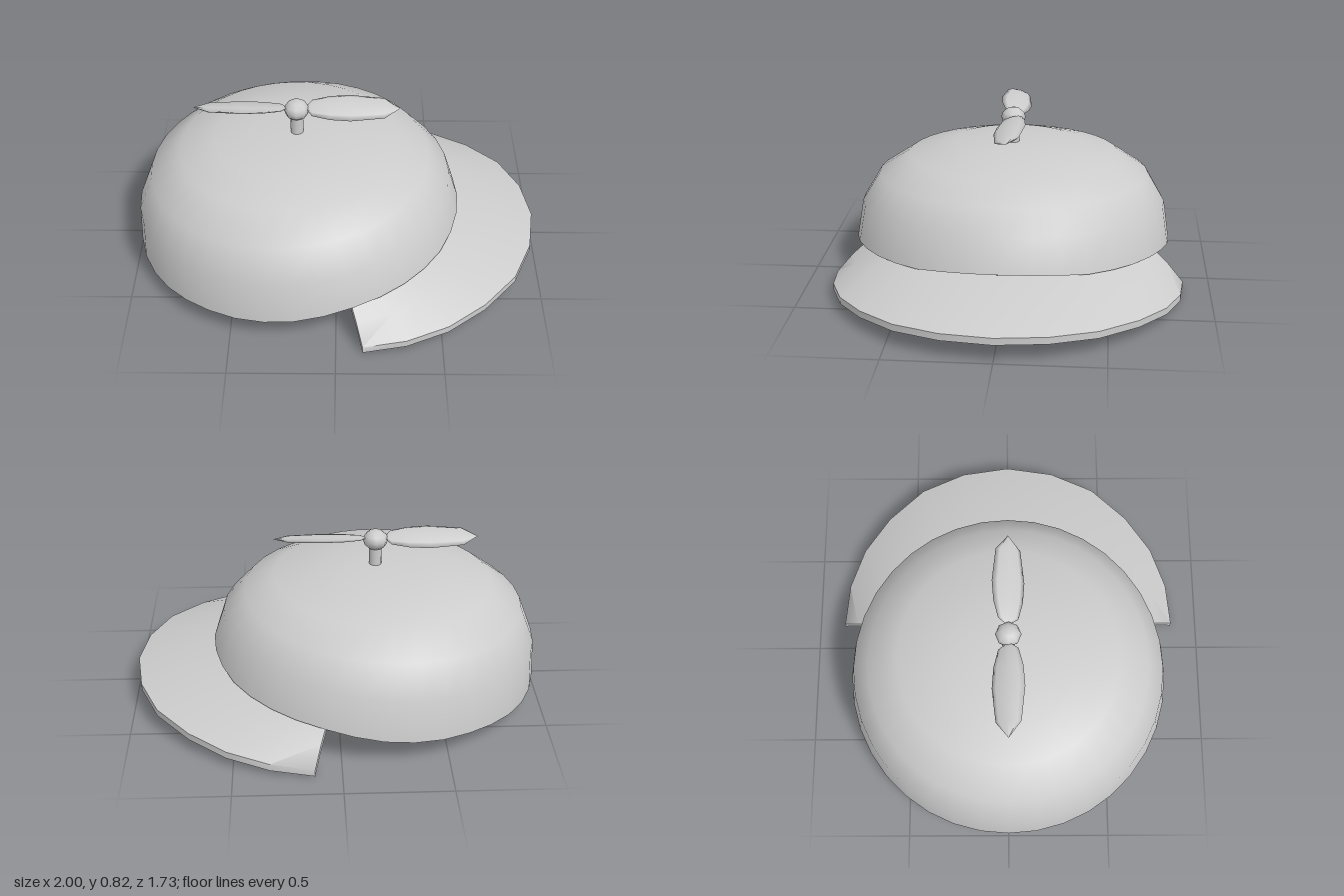
import * as THREE from 'three';
import { toCreasedNormals } from 'three/addons/utils/BufferGeometryUtils.js';

const CX = -0.195; // centre of the crown
const fabric = new THREE.MeshStandardMaterial({ color: 0xcccccc });
fabric.name = 'light grey';

// Height of the crown's wavy lower edge for a given x
const RIM = [[-1, 0.068], [-0.9, 0.07], [-0.65, 0.1], [-0.4, 0.113], [-0.2, 0.136], [0.1, 0.185], [0.5, 0.22], [0.61, 0.25]];
function rimY(x) {
  for (let i = 1; i < RIM.length; i++) {
    const [x0, y0] = RIM[i - 1], [x1, y1] = RIM[i];
    if (x <= x1) return y0 + (y1 - y0) * Math.max(0, (x - x0) / (x1 - x0));
  }
  return 0.25;
}

// Skin a list of cross-sections; closed rings get end caps
function loft(sections, closedRing) {
  const n = sections[0].length, idx = [];
  const last = closedRing ? n : n - 1;
  for (let i = 0; i < sections.length - 1; i++) {
    for (let j = 0; j < last; j++) {
      const k = (j + 1) % n;
      const a = i * n + j, b = (i + 1) * n + j, c = (i + 1) * n + k, d = i * n + k;
      idx.push(a, b, c, a, c, d);
    }
  }
  if (closedRing) {
    const e = (sections.length - 1) * n;
    for (let j = 1; j < n - 1; j++) idx.push(0, j, j + 1, e, e + j + 1, e + j);
  }
  const g = new THREE.BufferGeometry();
  g.setAttribute('position', new THREE.Float32BufferAttribute(sections.flat(2), 3));
  g.setIndex(idx);
  return toCreasedNormals(g, 0.8);
}

function add(parent, name, geometry, x = 0, y = 0, z = 0) {
  const m = new THREE.Mesh(geometry, fabric);
  m.name = name;
  m.position.set(x, y, z);
  parent.add(m);
  return m;
}

// Thick-walled dome of tilted rings: [x shift, radius, height, tilt] from the apex down
function crownGeometry() {
  const rings = [
    [0, 0.001, 0.645, 0], [-0.06, 0.16, 0.638, 0.005], [-0.1, 0.305, 0.623, 0.012],
    [-0.04, 0.538, 0.575, 0.015], [-0.04, 0.688, 0.48, 0.04], [-0.0225, 0.775, 0.335, 0.075],
  ];
  const sections = [];
  const segments = 36;
  for (let i = 0; i <= segments; i++) {
    const a = ((i % segments) / segments) * Math.PI * 2;
    const c = Math.cos(a), s = Math.sin(a);
    const ring = (scale, drop) => rings.map(([shift, r, y, tilt]) =>
      [CX + scale * (shift + r * c), y - drop + tilt * c, scale * r * s]);
    const bottom = rimY(CX + 0.805 * c);
    const rim = (r) => [CX + r * c, bottom, r * s];
    sections.push([...ring(1, 0), rim(0.805), rim(0.725), ...ring(0.905, 0.052).reverse()]);
  }
  return loft(sections, false);
}

// Curved, slightly bulging brim sweeping round the +x side
function brimGeometry() {
  const half = [[0.125, 0.867], [0.33, 0.845], [0.53, 0.77], [0.71, 0.64], [0.87, 0.46], [0.965, 0.24], [1, 0]];
  const edge = [...half.map(([x, z]) => [x, -z]), ...half.slice(0, -1).reverse()];
  const sections = edge.map(([x, z], i) => {
    const a = (i / 6 - 1) * 1.22;
    const ix = CX + 0.757 * Math.cos(a), iz = 0.757 * Math.sin(a);
    const iy = 0.188 + 0.04 * (ix - 0.065) / 0.497;
    const oy = 0.09 * (x - 0.125) / 0.875;
    const mx = (ix + x) / 2, mz = (iz + z) / 2, my = (iy + oy + 0.034) / 2 + 0.01;
    return [[ix, iy, iz], [mx, my, mz], [x, oy + 0.034, z],
      [x, oy, z], [mx, my - 0.033, mz], [ix, iy - 0.032, iz]];
  });
  return loft(sections, true);
}

// Flattened pointed blade lying along x
function bladeGeometry() {
  const pts = [[0, -0.22], [0.05, -0.185], [0.073, -0.1], [0.081, 0], [0.062, 0.165], [0, 0.24]];
  const g = new THREE.LatheGeometry(pts.map(([r, y]) => new THREE.Vector2(r, y)), 8);
  g.rotateZ(-Math.PI / 2);
  g.scale(1, 0.25, 1);
  return g;
}

export function createModel() {
  const model = new THREE.Group();
  model.name = 'propellerCap';
  add(model, 'crown', crownGeometry());
  add(model, 'brim', brimGeometry());

  // Spinning top piece
  const propeller = new THREE.Group();
  propeller.name = 'propeller';
  propeller.position.x = CX;
  model.add(propeller);
  add(propeller, 'stem', new THREE.CylinderGeometry(0.031, 0.031, 0.13, 12), 0, 0.685, 0);
  add(propeller, 'hub', new THREE.SphereGeometry(0.062, 8, 6), 0, 0.772, 0).scale.y = 0.82;
  for (const side of [1, -1]) {
    const pivot = new THREE.Group();
    pivot.name = side > 0 ? 'leftBlade' : 'rightBlade';
    pivot.position.y = 0.781;
    pivot.rotation.y = side > 0 ? 0 : Math.PI;
    propeller.add(pivot);
    add(pivot, 'blade', bladeGeometry(), 0.26, 0, 0).rotation.x = 0.3;
  }
  return model;
}
